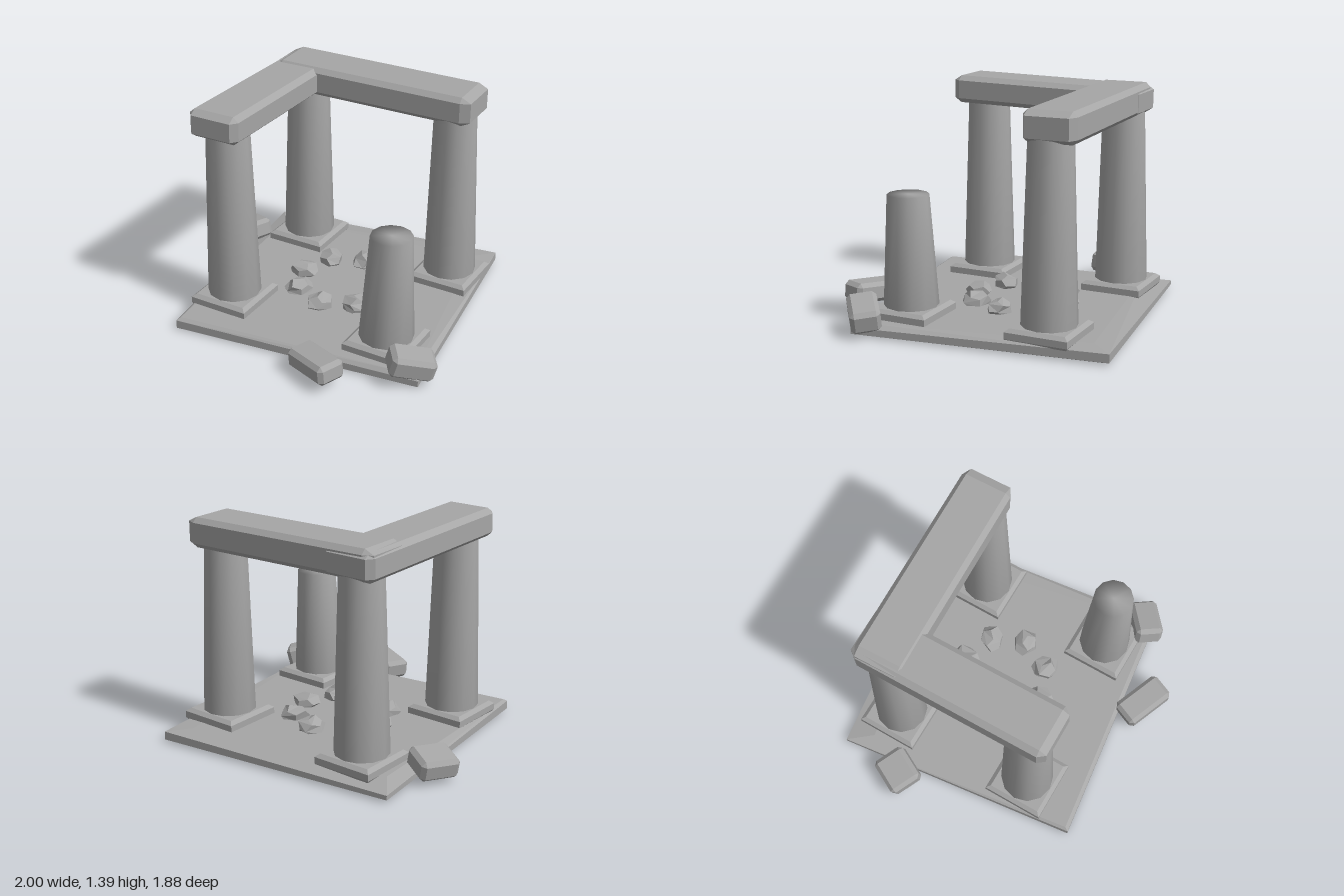
import * as THREE from 'three';
import { mergeVertices } from 'three/addons/utils/BufferGeometryUtils.js';
import { ConvexGeometry } from 'three/addons/geometries/ConvexGeometry.js';

const stone = new THREE.MeshStandardMaterial({ color: 0xa6a6a6 });
stone.name = 'grey stone';

const V = (x, y, z) => new THREE.Vector3(x, y, z);

function add(parent, name, geometry, position = [0, 0, 0], yaw = 0, pitch = 0, roll = 0) {
  const mesh = new THREE.Mesh(geometry, stone);
  mesh.name = name;
  mesh.position.set(...position);
  mesh.rotation.set(pitch, yaw, roll, 'YXZ');
  parent.add(mesh);
  return mesh;
}

// Box with every edge and corner cut by c (e along x, f along z)
function hewnBlock(w, h, d, c = 0.025, e = c, f = c) {
  const pts = [];
  for (const sx of [-1, 1]) for (const sy of [-1, 1]) for (const sz of [-1, 1]) {
    const x = w / 2, y = h / 2, z = d / 2;
    pts.push(V(sx * x, sy * (y - c), sz * (z - f)));
    pts.push(V(sx * (x - e), sy * y, sz * (z - f)));
    pts.push(V(sx * (x - e), sy * (y - c), sz * z));
  }
  return new ConvexGeometry(pts);
}

// Square footing with a sloped upper edge
function plinthGeometry(size, h) {
  const pts = [];
  for (const sx of [-1, 1]) for (const sz of [-1, 1]) {
    for (const [r, y] of [[size / 2 - 0.01, 0], [size / 2, 0.015], [size / 2, h - 0.02], [size / 2 - 0.025, h]]) {
      pts.push(V(sx * r, y, sz * r));
    }
  }
  return new ConvexGeometry(pts);
}

// Tapered leaning shaft, smooth over the whole surface
function shaftGeometry(rTop, rBottom, h, lean) {
  let g = new THREE.CylinderGeometry(rTop, rBottom, h, 12, 1);
  g.translate(0, h / 2, 0);
  g.deleteAttribute('normal');
  g.deleteAttribute('uv');
  g = mergeVertices(g, 1e-4);
  const p = g.attributes.position;
  for (let i = 0; i < p.count; i++) p.setX(i, p.getX(i) + lean * p.getY(i) / h);
  g.computeVertexNormals();
  return g;
}

// Faceted pebble with seeded bumps
function pebbleGeometry(seed) {
  const g = new THREE.DodecahedronGeometry(1, 0);
  const p = g.attributes.position, v = V(0, 0, 0);
  for (let i = 0; i < p.count; i++) {
    v.fromBufferAttribute(p, i);
    const n = Math.sin(Math.round(v.x * 50) * 1.7 + Math.round(v.y * 50) * 2.9 + Math.round(v.z * 50) * 4.3 + seed) * 43.7;
    v.multiplyScalar(0.86 + 0.26 * (n - Math.floor(n)));
    p.setXYZ(i, v.x * 0.093, v.y * 0.062, v.z * 0.083);
  }
  g.computeVertexNormals();
  return g;
}

export function createModel() {
  const group = new THREE.Group();
  group.name = 'ruin';

  // Uneven ground slab: rim corners and inset top corners
  const rim = [[-0.84, -0.76], [0.715, -0.945], [0.91, 0.6], [-0.65, 0.79]];
  const top = [[-0.73, -0.61], [0.6, -0.81], [0.87, 0.58], [-0.635, 0.765]];
  const rimY = [0.05, 0.072, 0.055, 0.065];
  const footY = [0.022, 0.02, 0.016, 0.012];
  const slab = [];
  rim.forEach(([x, z], i) => {
    slab.push(V(x, rimY[i], z), V(x, footY[i], z));
    slab.push(V(x * 0.95, 0.003, z * 0.95), V(top[i][0], 0.08, top[i][1]));
  });
  add(group, 'groundSlab', new ConvexGeometry(slab));

  // Columns: x, z, shaft top height, top radius, lean
  const columns = [
    ['backLeftColumn', -0.495, -0.54, 1.24, 0.132, 0.005],
    ['frontLeftColumn', -0.48, 0.395, 1.25, 0.132, -0.005],
    ['backRightColumn', 0.57, -0.52, 1.23, 0.132, -0.008],
    ['brokenColumn', 0.585, 0.375, 0.815, 0.125, 0.02],
  ];
  for (const [name, x, z, h, r, lean] of columns) {
    const column = new THREE.Group();
    column.name = name;
    column.position.set(x, 0, z);
    add(column, 'plinth', plinthGeometry(0.39, 0.075), [0, 0.065, 0]);
    add(column, 'shaft', shaftGeometry(r, 0.167, h - 0.12, lean), [0, 0.12, 0]);
    group.add(column);
  }

  // Lintel beams meeting over the back corner
  add(group, 'backLintel', hewnBlock(1.35, 0.185, 0.325, 0.03, 0.06, 0.03), [0.025, 1.29, -0.53], 0.03, 0, -0.008);
  add(group, 'sideLintel', hewnBlock(0.335, 0.175, 1.26, 0.03, 0.035, 0.045), [-0.487, 1.294, -0.055], 0.008, -0.018, 0);

  // Fallen blocks
  add(group, 'leftFallenBlock', hewnBlock(0.215, 0.13, 0.245), [-0.86, 0.11, -0.345], -0.48, 0.05, 0.2);
  add(group, 'frontFallenBlock', hewnBlock(0.335, 0.125, 0.18), [0.347, 0.107, 0.795], -0.4, 0.03, 0.09);
  add(group, 'rightFallenBlock', hewnBlock(0.27, 0.14, 0.18), [0.84, 0.134, 0.55], 0.64, 0.1, -0.25);

  // Ring of pebbles
  for (let i = 0; i < 8; i++) {
    const a = i * Math.PI / 4;
    add(group, 'pebble', pebbleGeometry(i), [0.03 + Math.cos(a) * 0.29, 0.097, -0.08 + Math.sin(a) * 0.29], -a);
  }
  return group;
}
